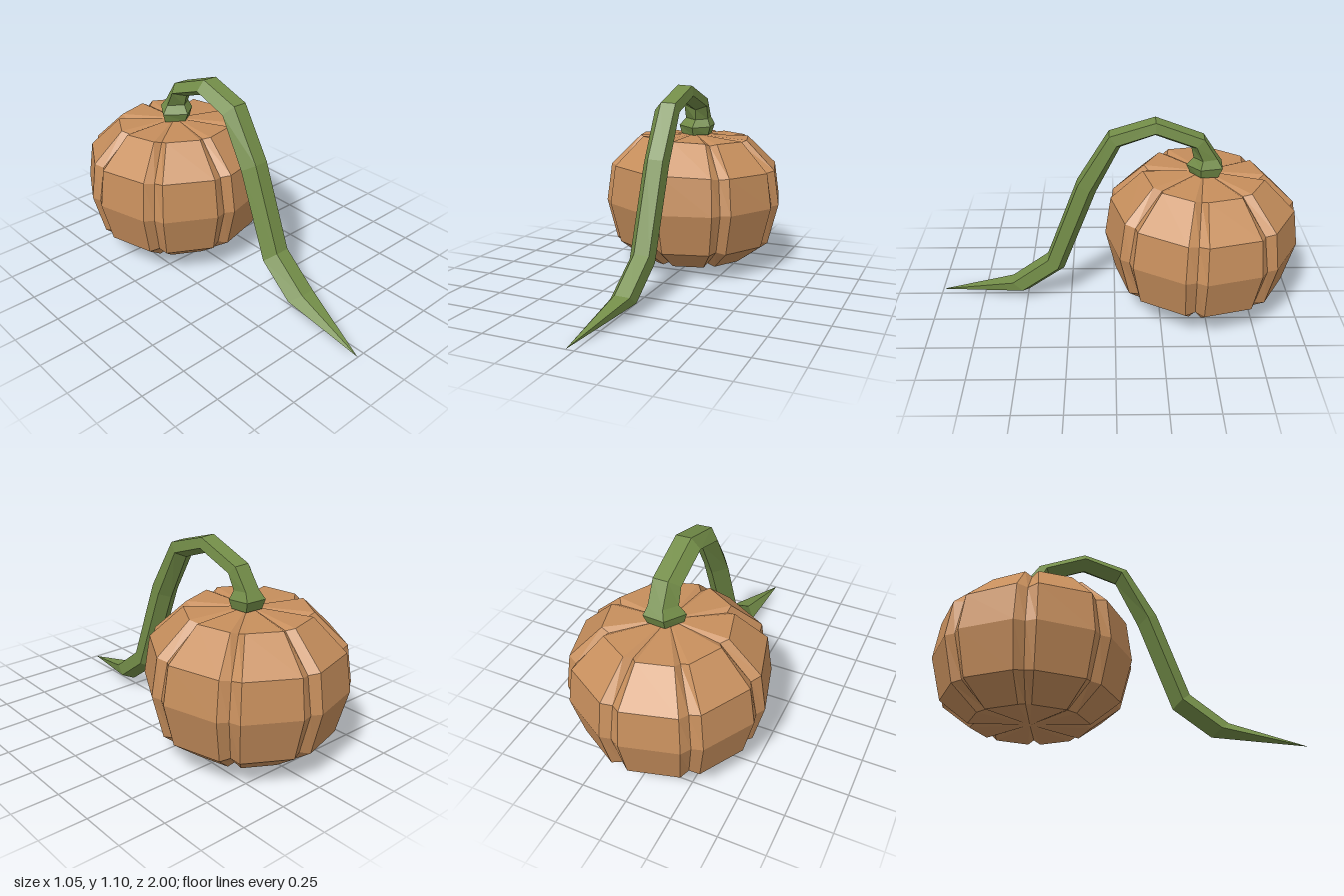
import * as THREE from 'three';

// Flat-shaded skin over a list of closed rings of Vector3.
function skin(rings, material, name) {
  const pos = [];
  const tri = (a, b, c) => {
    const n = b.clone().sub(a).cross(c.clone().sub(a));
    if (n.length() > 1e-9) for (const p of [a, b, c]) pos.push(p.x, p.y, p.z);
  };
  for (let r = 0; r < rings.length - 1; r++) {
    const a = rings[r], b = rings[r + 1];
    for (let i = 0; i < a.length; i++) {
      const j = (i + 1) % a.length;
      tri(a[i], b[i], b[j]);
      tri(a[i], b[j], a[j]);
    }
  }
  const geo = new THREE.BufferGeometry();
  geo.setAttribute('position', new THREE.Float32BufferAttribute(pos, 3));
  geo.computeVertexNormals();
  const mesh = new THREE.Mesh(geo, material);
  mesh.name = name;
  return mesh;
}

export function createModel() {
  const group = new THREE.Group();
  group.name = 'pumpkin';
  const rind = new THREE.MeshStandardMaterial({ color: 0xc68e5c, flatShading: true });
  rind.name = 'orange brown rind';
  const green = new THREE.MeshStandardMaterial({ color: 0x738d48, flatShading: true });
  green.name = 'stem green';

  // Body: eight flat lobes with a narrow groove between each pair.
  // Each level: radius, height, groove radius factor, groove height shift
  const levels = [
    [0, 0.055, 1, 0], [0.315, 0.05, 0.9, 0.015], [0.467, 0.165, 0.94, 0.01],
    [0.527, 0.4, 0.955, 0], [0.497, 0.6, 0.94, -0.01], [0.325, 0.765, 0.9, -0.015],
    [0, 0.785, 1, 0],
  ];
  const deg = Math.PI / 180;
  const body = levels.map(([radius, y, grooveR, grooveY], level) => {
    const ring = [];
    for (let k = 0; k < 8; k++) {
      for (const offset of [-16.5, 16.5, 22.5]) {
        const groove = offset === 22.5;
        const a = (30 + 45 * k + offset) * deg;
        const r = radius * (groove ? grooveR : 1);
        // The upper front left shoulder sits slightly higher
        const lift = level === 4 || level === 5 ? 0.02 * Math.max(0, Math.cos(a - 130 * deg)) : 0;
        ring.push(new THREE.Vector3(r * Math.cos(a), y + lift + (groove ? grooveY : 0), -0.475 + r * Math.sin(a)));
      }
    }
    return ring;
  });
  group.add(skin(body, rind, 'body'));

  // Stem: five-sided section carried between an outer and an inner outline.
  // Section: x offset, and position from inner (0) to outer (1)
  const section = [[-0.02, 1], [0.063, 0.96], [0.072, 0.35], [0.01, 0], [-0.07, 0.42]];
  // Each station: outer z, y, inner z, y, width factor, centre x
  const stations = [
    [-0.475, 0.78, -0.475, 0.78, 0, 0.01],
    [-0.55, 0.785, -0.4, 0.785, 1.2, 0.005],
    [-0.57, 0.84, -0.38, 0.83, 1.4, 0.005],
    [-0.54, 0.885, -0.415, 0.875, 1, 0.015],
    [-0.465, 1.0, -0.4, 0.935, 1, 0.02],
    [-0.21, 1.095, -0.21, 1.005, 1, 0.02],
    [0.03, 1.02, -0.03, 0.94, 1, 0.02],
    [0.2, 0.74, 0.1, 0.68, 1, 0.02],
    [0.375, 0.275, 0.285, 0.195, 1, 0.02],
    [0.58, 0.12, 0.49, 0.045, 1, 0.01],
    [1, 0, 1, 0, 0, -0.045],
  ];
  const stem = stations.map(([oz, oy, iz, iy, w, cx]) =>
    section.map(([x, t]) => new THREE.Vector3(cx + x * w, iy + (oy - iy) * t, iz + (oz - iz) * t)));
  group.add(skin(stem, green, 'stem'));

  return group;
}
